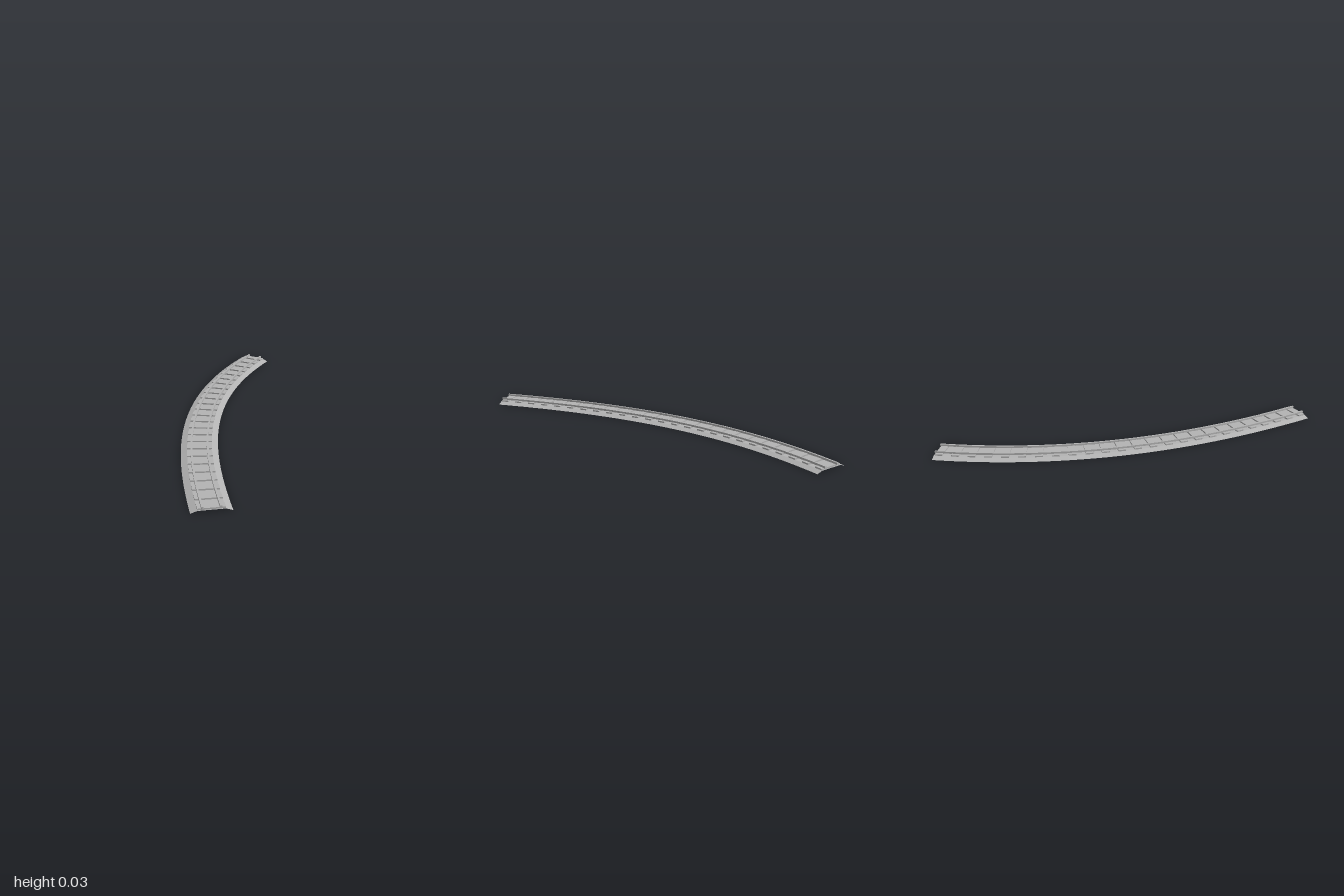
import * as THREE from 'three';

const V = (x, z) => new THREE.Vector3(x, 0, z);

// centre line of the track, bending a little more towards the back
const path = new THREE.CubicBezierCurve3(V(0.09, -0.968), V(-0.172, -0.319), V(-0.12, 0.303), V(0.0885, 0.971));

// sweep a cross-section of [across, height] points along the centre line
function sweep(profile, closed, segments = 40) {
  const n = profile.length, pos = [], index = [];
  for (let i = 0; i <= segments; i++) {
    const c = path.getPointAt(i / segments), t = path.getTangentAt(i / segments);
    for (const [u, y] of profile) pos.push(c.x + u * t.z, y, c.z - u * t.x);
  }
  for (let i = 0; i < segments; i++) {
    for (let j = 0; j < (closed ? n : n - 1); j++) {
      const k = (j + 1) % n;
      const a = i * n + j, b = i * n + k, c = a + n, d = b + n;
      index.push(a, b, d, a, d, c);
    }
  }
  if (closed) { // end caps
    const e = segments * n;
    for (let j = 1; j < n - 1; j++) index.push(0, j + 1, j, e, e + j, e + j + 1);
  }
  const g = new THREE.BufferGeometry();
  g.setAttribute('position', new THREE.Float32BufferAttribute(pos, 3));
  g.setIndex(index);
  const flat = g.toNonIndexed();
  flat.computeVertexNormals();
  return flat;
}

export function createModel() {
  const group = new THREE.Group();
  group.name = 'curvedTrack';
  const grey = new THREE.MeshStandardMaterial({ color: 0xb4b4b4, side: THREE.DoubleSide });
  grey.name = 'grey';

  const add = (name, geometry) => {
    const mesh = new THREE.Mesh(geometry, grey);
    mesh.name = name;
    group.add(mesh);
    return mesh;
  };

  // ballast bed: a hollow shell, open underneath
  add('ballastBed', sweep([[0.0875, 0], [0.058, 0.01], [-0.058, 0.01], [-0.0875, 0]], false));

  // sleepers, square to the centre line
  const count = 25, inset = 0.012;
  const sleeperGeometry = new THREE.BoxGeometry(0.117, 0.008, 0.038);
  for (let i = 0; i < count; i++) {
    const s = inset + (1 - 2 * inset) * i / (count - 1);
    const c = path.getPointAt(s), t = path.getTangentAt(s);
    const sleeper = add('sleeper', sleeperGeometry);
    sleeper.position.set(c.x, 0.013, c.z);
    sleeper.rotation.y = Math.atan2(t.x, t.z);
  }

  // two rails
  for (const [name, u] of [['leftRail', 0.038], ['rightRail', -0.038]]) {
    const w = 0.0045;
    add(name, sweep([[u - w, 0.016], [u + w, 0.016], [u + w, 0.026], [u - w, 0.026]], true));
  }
  return group;
}
